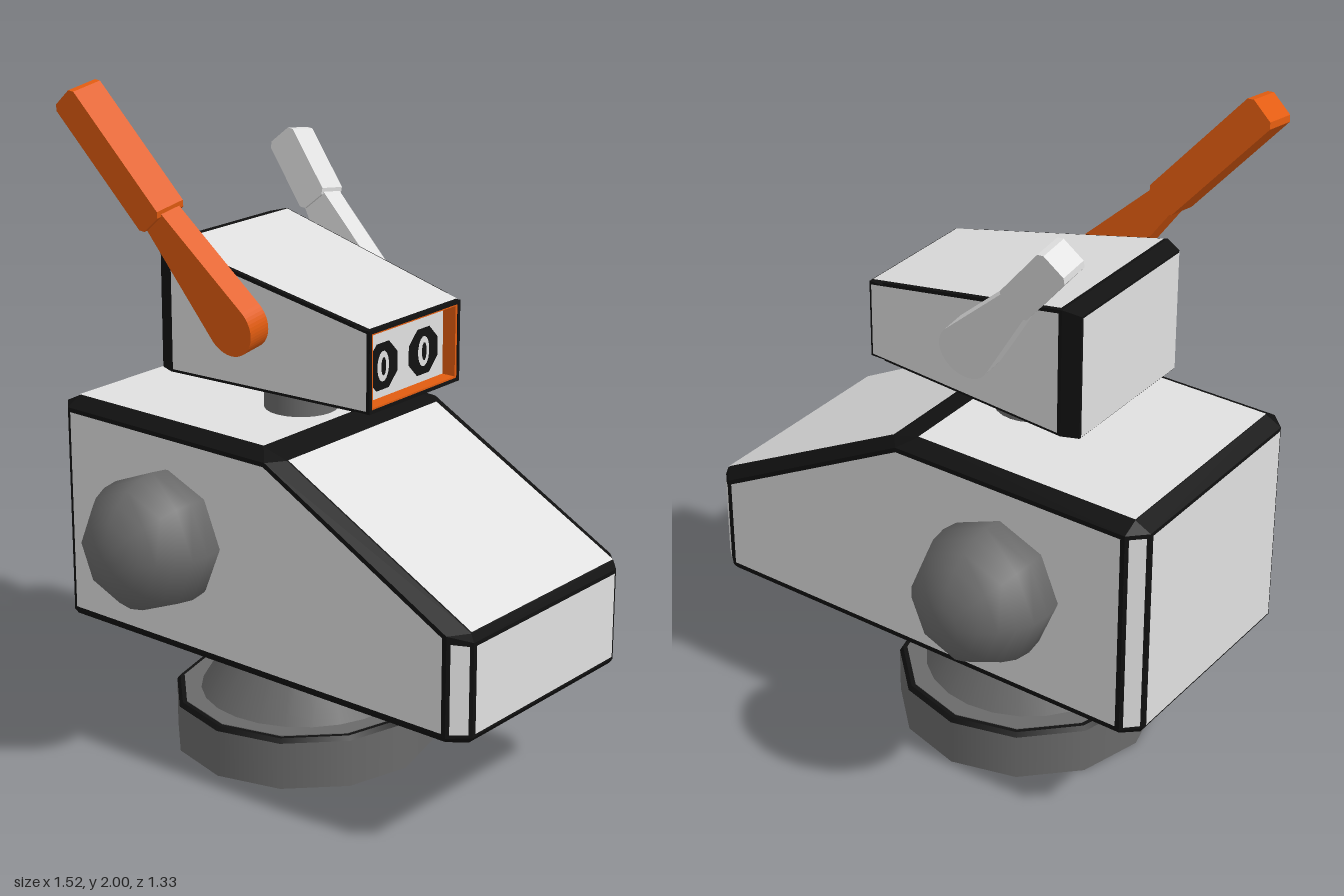
import * as THREE from 'three';
import { ConvexGeometry } from 'three/addons/geometries/ConvexGeometry.js';

const V = (x, y, z) => new THREE.Vector3(x, y, z);

export function createModel() {
  const mat = (name, color) => Object.assign(new THREE.MeshStandardMaterial({ color }), { name });
  const light = mat('light grey', 0xe0e0e0);
  const dark = mat('dark grey', 0x6a6a6a);
  const black = mat('black', 0x111111);
  const orange = mat('orange', 0xe25c10);

  const model = new THREE.Group();
  model.name = 'robotDog';
  const add = (parent, name, geo, material, x = 0, y = 0, z = 0) => {
    const mesh = new THREE.Mesh(geo, material);
    mesh.name = name;
    mesh.position.set(x, y, z);
    parent.add(mesh);
    return mesh;
  };
  const group = (name) => {
    const g = new THREE.Group();
    g.name = name;
    model.add(g);
    return g;
  };

  // Flat plate on a convex face, inset by a margin, facing away from "inside"
  const panel = (parent, name, pts, inside, margin, material = light) => {
    const n = pts.length;
    const normal = pts[1].clone().sub(pts[0]).cross(pts[2].clone().sub(pts[0])).normalize();
    const flip = normal.dot(pts[0].clone().sub(inside)) < 0;
    if (flip) normal.negate();
    const inner = pts.map((p, i) => {
      const a = pts[(i + n - 1) % n].clone().sub(p).normalize();
      const b = pts[(i + 1) % n].clone().sub(p).normalize();
      const s = a.clone().cross(b).length();
      return p.clone().addScaledVector(a.add(b), margin / s).addScaledVector(normal, 0.003);
    });
    if (flip) inner.reverse();
    const pos = [];
    for (let i = 1; i < n - 1; i++) {
      for (const p of [inner[0], inner[i], inner[i + 1]]) pos.push(p.x, p.y, p.z);
    }
    const geo = new THREE.BufferGeometry();
    geo.setAttribute('position', new THREE.Float32BufferAttribute(pos, 3));
    geo.computeVertexNormals();
    add(parent, name, geo, material);
  };
  // Four corners spanning both sides, from two points of an xy profile
  const across = (x1, y1, x2, y2, z1, z2 = z1) =>
    [V(x1, y1, z1), V(x2, y2, z2), V(x2, y2, -z2), V(x1, y1, -z1)];

  // Pedestal
  const base = group('pedestal');
  add(base, 'baseDisc', new THREE.CylinderGeometry(0.395, 0.395, 0.145, 12), dark, -0.13, 0.0725);
  add(base, 'baseRim', new THREE.CylinderGeometry(0.385, 0.395, 0.013, 12), black, -0.13, 0.1515);
  add(base, 'baseTop', new THREE.CylinderGeometry(0.372, 0.372, 0.004, 12), dark, -0.13, 0.158);
  add(base, 'baseCone', new THREE.CylinderGeometry(0.19, 0.315, 0.21, 24), dark, -0.13, 0.26);

  // Body: black bevelled block carrying light panels
  const body = group('body');
  const mid = V(-0.1, 0.65, 0);
  const sideProfile = [[-0.71, 0.375], [-0.71, 1.02], [0.06, 1.02], [0.70, 0.675], [0.70, 0.375]];
  const innerProfile = [[-0.76, 0.375], [-0.76, 1.02], [-0.71, 1.045], [0.015, 1.045],
    [0.10, 1.022], [0.745, 0.68], [0.755, 0.655], [0.755, 0.375]];
  const hull = [];
  for (const s of [1, -1]) {
    sideProfile.forEach(([x, y]) => hull.push(V(x, y, 0.39 * s)));
    innerProfile.forEach(([x, y]) => hull.push(V(x, y, 0.34 * s)));
    for (const [x, z] of [[-0.75, 0.34], [-0.705, 0.38], [0.695, 0.38], [0.745, 0.34]]) {
      hull.push(V(x, 0.36, z * s));
    }
  }
  add(body, 'bodyBlock', new ConvexGeometry(hull), black);
  for (const s of [1, -1]) {
    panel(body, 'sidePanel', sideProfile.map(([x, y]) => V(x, y, 0.39 * s)), mid, 0.012);
    panel(body, 'rearCornerPanel', [V(-0.71, 0.375, 0.39 * s), V(-0.71, 1.02, 0.39 * s),
      V(-0.76, 1.02, 0.34 * s), V(-0.76, 0.375, 0.34 * s)], mid, 0.011);
    panel(body, 'frontCornerPanel', [V(0.70, 0.375, 0.39 * s), V(0.70, 0.665, 0.39 * s),
      V(0.755, 0.655, 0.34 * s), V(0.755, 0.375, 0.34 * s)], mid, 0.011);
  }
  panel(body, 'backPanel', across(-0.76, 0.375, -0.76, 1.02, 0.34), mid, 0.008);
  panel(body, 'topPanel', across(-0.71, 1.045, 0.015, 1.045, 0.34), mid, 0);
  panel(body, 'slopePanel', across(0.10, 1.022, 0.745, 0.68, 0.34), mid, 0.002);
  panel(body, 'frontPanel', across(0.755, 0.375, 0.755, 0.655, 0.34), mid, 0.01);
  panel(body, 'bottomPanel', across(-0.75, 0.36, 0.745, 0.36, 0.34), mid, 0);
  for (const s of [1, -1]) {
    panel(body, 'bottomEdgePanel', [V(-0.75, 0.36, 0.34 * s), V(0.745, 0.36, 0.34 * s),
      V(0.695, 0.36, 0.38 * s), V(-0.705, 0.36, 0.38 * s)], mid, 0);
  }

  // Hip balls, poles pointing sideways
  for (const s of [1, -1]) {
    const ball = add(model, s > 0 ? 'rightHipBall' : 'leftHipBall',
      new THREE.SphereGeometry(0.208, 8, 12), dark, -0.305, 0.72, 0.458 * s);
    ball.rotation.x = s * Math.PI / 2;
  }

  add(model, 'neck', new THREE.CylinderGeometry(0.11, 0.11, 0.14, 24), dark, -0.135, 1.1);

  // Head
  const head = group('head');
  const hc = V(-0.1, 1.3, 0);
  const headHull = [];
  for (const s of [1, -1]) {
    for (const [x, y, z] of [[-0.46, 1.16, 0.24], [-0.46, 1.535, 0.24], [-0.41, 1.16, 0.26],
      [-0.41, 1.548, 0.26], [0.235, 1.16, 0.209], [0.235, 1.411, 0.209]]) headHull.push(V(x, y, z * s));
  }
  add(head, 'headBlock', new ConvexGeometry(headHull), black);
  for (const s of [1, -1]) {
    panel(head, 'headSide', [V(-0.41, 1.16, 0.26 * s), V(-0.41, 1.548, 0.26 * s),
      V(0.285, 1.4, 0.205 * s), V(0.285, 1.16, 0.205 * s)], hc, 0.009);
  }
  panel(head, 'headTop', across(-0.41, 1.548, 0.285, 1.4, 0.26, 0.205), hc, 0.008);
  panel(head, 'headBottom', across(-0.45, 1.16, 0.285, 1.16, 0.255, 0.205), hc, 0.006);
  panel(head, 'headBack', across(-0.46, 1.16, -0.46, 1.535, 0.24), hc, 0.004);
  panel(head, 'face', across(0.235, 1.17, 0.235, 1.39, 0.19), hc, 0);

  // Raised face frame with orange lining
  for (const s of [1, -1]) {
    add(head, 'frameSide', new THREE.BoxGeometry(0.055, 0.24, 0.01), black, 0.2575, 1.28, 0.2 * s);
    add(head, 'frameBar', new THREE.BoxGeometry(0.055, 0.01, 0.41), black, 0.2575, 1.28 + 0.115 * s, 0);
    add(head, 'liningSide', new THREE.BoxGeometry(0.05, 0.22, 0.008), orange, 0.257, 1.28, 0.191 * s);
    add(head, 'liningBar', new THREE.BoxGeometry(0.05, 0.005, 0.38), orange, 0.257, 1.28 + 0.1075 * s, 0);
  }

  // Eyes: stacked thin plates
  for (const s of [1, -1]) {
    [['eye', 8, 0.072, 0.074, black], ['eyeRing', 16, 0.026, 0.045, light],
      ['pupil', 12, 0.011, 0.027, black]].forEach(([name, n, w, h, m], i) => {
      const geo = new THREE.CircleGeometry(1, n, Math.PI / n).scale(w, h, 1).rotateY(Math.PI / 2);
      add(head, name, geo, m, 0.2405 + i * 0.002, 1.266, 0.092 * s);
    });
  }

  // Ears: tapered round-ended arm with a thicker paddle
  const slab = (shape, depth) => new THREE.ExtrudeGeometry(shape,
    { depth, bevelEnabled: false, curveSegments: 14 }).translate(0, 0, -depth / 2);
  const makeEar = (name, side, joint, tip, thick, material) => {
    const ear = group(name);
    const arm = new THREE.Shape();
    arm.moveTo(0.043, joint + 0.01);
    arm.lineTo(-0.043, joint + 0.01);
    arm.absarc(0, 0, 0.083, Math.PI - 0.1, 2 * Math.PI + 0.1, false);
    add(ear, 'earArm', slab(arm, 0.075), material);
    const w = 0.052, c = 0.014;
    const paddle = new THREE.Shape([[-w + c, joint], [w - c, joint], [w, joint + c], [w, tip - c],
      [w - c, tip], [-w + c, tip], [-w, tip - c], [-w, joint + c]].map(([x, y]) => new THREE.Vector2(x, y)));
    add(ear, 'earPaddle', slab(paddle, thick), material);
    ear.position.set(-0.13, 1.36, side * 0.283);
    ear.rotation.set(side * 0.145, 0, 0.705);
  };
  makeEar('rightEar', 1, 0.363, 0.805, 0.108, orange);
  makeEar('leftEar', -1, 0.285, 0.52, 0.092, light);

  return model;
}
